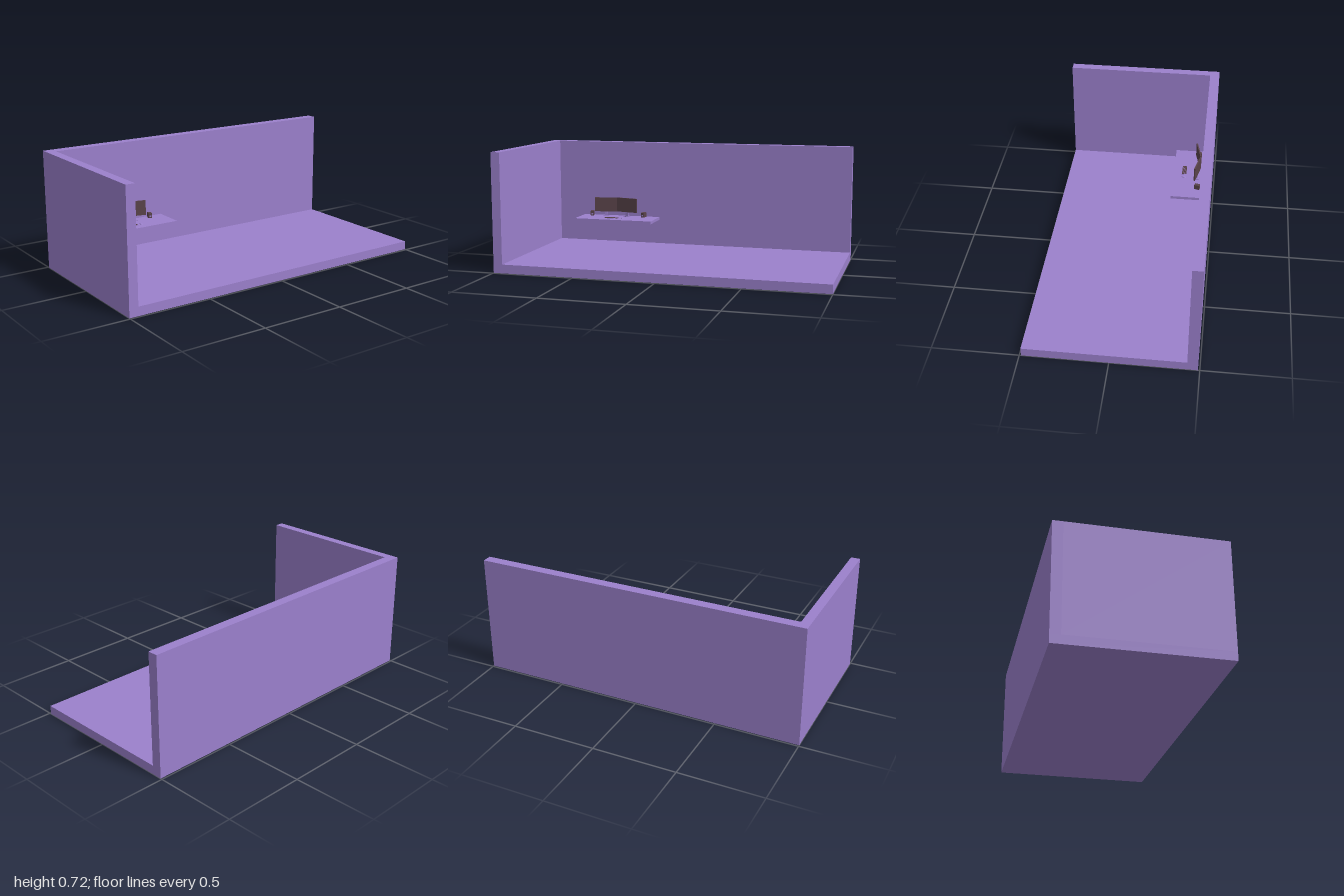
import * as THREE from 'three';

const purple = new THREE.MeshStandardMaterial({ name: 'purple', color: 0x9b80cc });
const brown = new THREE.MeshStandardMaterial({ name: 'darkBrown', color: 0x59434a });

function add(parent, name, geometry, material, x, y, z) {
  const mesh = new THREE.Mesh(geometry, material);
  mesh.name = name;
  mesh.position.set(x, y, z);
  parent.add(mesh);
  return mesh;
}

// Box given by its minimum and maximum corners
function block(parent, name, material, [x0, y0, z0], [x1, y1, z1]) {
  return add(parent, name, new THREE.BoxGeometry(x1 - x0, y1 - y0, z1 - z0), material,
    (x0 + x1) / 2, (y0 + y1) / 2, (z0 + z1) / 2);
}

function group(parent, name, x, y, z, turn = 0) {
  const g = new THREE.Group();
  g.name = name;
  g.position.set(x, y, z);
  g.rotation.y = turn;
  parent.add(g);
  return g;
}

// Screen on a stand, its base resting at the group's origin
function addMonitor(parent, name, x, y, z, turn) {
  const g = group(parent, name, x, y, z, turn);
  block(g, 'screen', brown, [-0.074, 0.03, -0.004], [0.074, 0.123, 0.004]);
  block(g, 'standBase', purple, [-0.018, 0, -0.014], [0.018, 0.004, 0.014]);
  block(g, 'standNeck', purple, [-0.01, 0.004, -0.003], [0.01, 0.032, 0.003]);
}

// Small speaker with a round cone on its front
function addSpeaker(parent, name, x, y, z, turn) {
  const g = group(parent, name, x, y, z, turn);
  block(g, 'cabinet', brown, [-0.011, 0, -0.017], [0.011, 0.031, 0.017]);
  const cone = new THREE.CylinderGeometry(0.006, 0.006, 0.002, 16).rotateX(Math.PI / 2);
  add(g, 'cone', cone, purple, 0, 0.012, 0.0175);
}

export function createModel() {
  const model = new THREE.Group();
  model.name = 'roomWithDesk';

  // Room shell: floor and two walls
  block(model, 'floor', purple, [-1, 0, -0.49], [1, 0.053, 0.49]);
  block(model, 'sideWall', purple, [-1, 0.053, -0.43], [-0.945, 0.718, 0.49]);
  block(model, 'backWall', purple, [-1, 0.053, -0.49], [1, 0.718, -0.43]);

  // Floating desk
  const top = 0.227;
  block(model, 'desk', purple, [-0.77, 0.209, -0.43], [-0.25, top, -0.236]);

  // Two screens in a shallow V, with a speaker at each end
  for (const side of [-1, 1]) {
    addMonitor(model, side < 0 ? 'rightMonitor' : 'leftMonitor',
      -0.535 + side * 0.073, top, -0.392, -side * 0.22);
    addSpeaker(model, side < 0 ? 'rightSpeaker' : 'leftSpeaker',
      -0.527 + side * 0.178, top, -0.392 - (side + 1) * 0.003, -side * 0.25);
  }

  // Keyboard with rows of keys
  const keyboard = group(model, 'keyboard', -0.539, top, -0.305);
  block(keyboard, 'keyboardBase', purple, [-0.046, 0, -0.016], [0.046, 0.002, 0.016]);
  for (let row = 0; row < 4; row++) {
    for (let col = 0; col < 12; col++) {
      const x = -0.044 + col * 0.0074, z = -0.0145 + row * 0.0074;
      const spaceBar = row === 3 && col > 2 && col < 8;
      if (spaceBar && col > 3) continue;
      block(keyboard, 'key', brown, [x, 0.002, z],
        [x + (spaceBar ? 0.0358 : 0.0062), 0.004, z + 0.0062]);
    }
  }

  // Mouse
  const dome = new THREE.SphereGeometry(1, 16, 8, 0, Math.PI * 2, 0, Math.PI / 2)
    .scale(0.009, 0.006, 0.015);
  add(model, 'mouse', dome, purple, -0.465, top, -0.305);

  return model;
}
